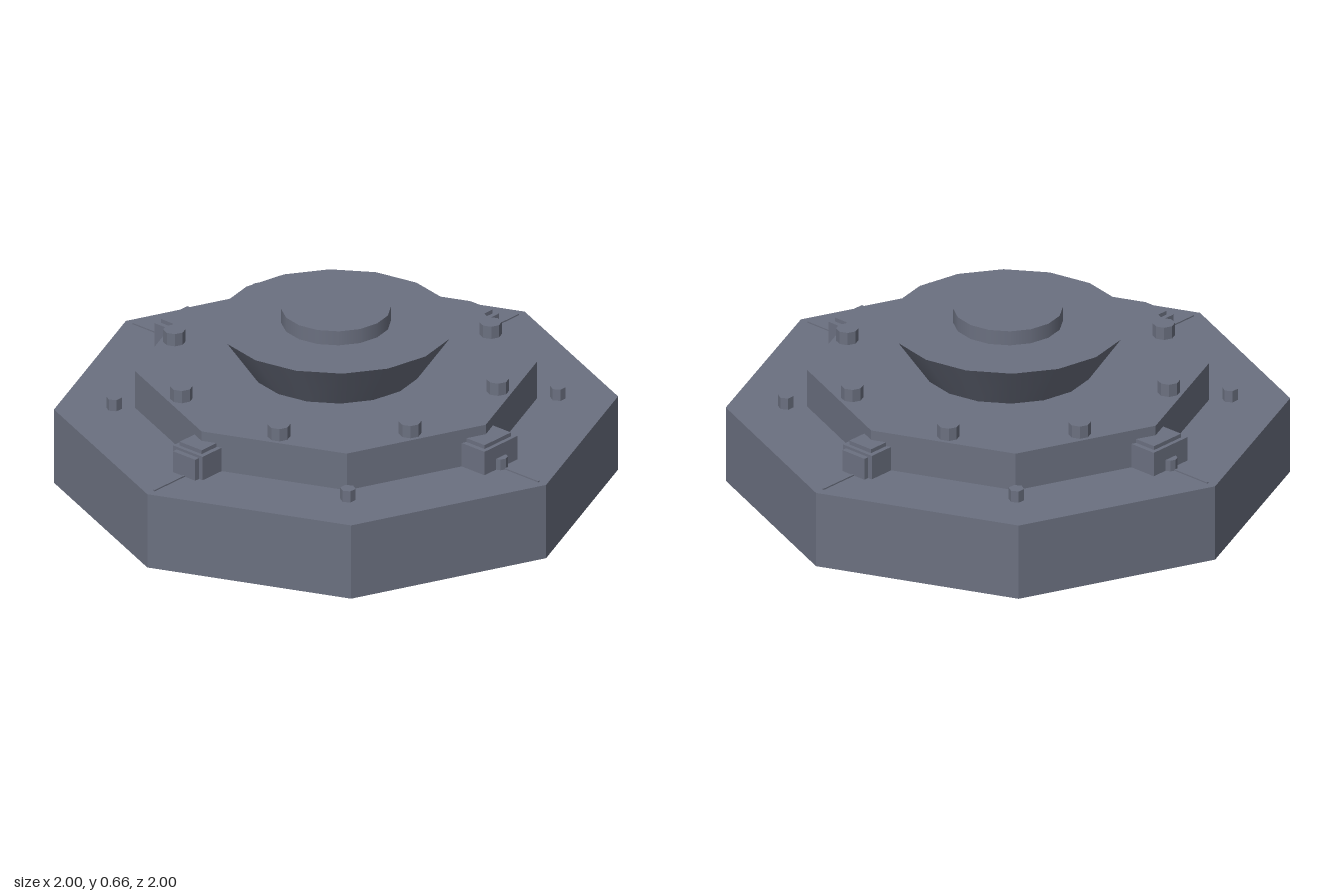
import * as THREE from 'three';

const flat = new THREE.MeshStandardMaterial({ color: 0x6b7080, flatShading: true });
const smooth = new THREE.MeshStandardMaterial({ color: 0x6b7080 });

// Upright prism or cone from y0 to y1
function drum(name, rTop, rBottom, y0, y1, sides, material = flat) {
  const mesh = new THREE.Mesh(new THREE.CylinderGeometry(rTop, rBottom, y1 - y0, sides), material);
  mesh.position.y = (y0 + y1) / 2;
  mesh.name = name;
  return mesh;
}

// Box given by width, a y range and a z range
function block(name, width, y0, y1, z0, z1) {
  const mesh = new THREE.Mesh(new THREE.BoxGeometry(width, y1 - y0, z1 - z0), flat);
  mesh.position.set(0, (y0 + y1) / 2, (z0 + z1) / 2);
  mesh.name = name;
  return mesh;
}

// Clamp on the rim of the upper tier, facing +z before it is turned
function createClamp(width, onSide) {
  const clamp = new THREE.Group();
  clamp.name = 'clamp';
  clamp.add(block('clampBody', width, 0.28, 0.38, 0.62, 0.785));
  clamp.add(block('clampCap', width - 0.035, 0.37, 0.395, 0.68, 0.77));
  if (onSide) {
    const stud = drum('clampStud', 0.027, 0.027, 0.28, 0.33, 8);
    stud.position.z = 0.782;
    clamp.add(stud);
  } else {
    clamp.add(block('clampPlate', 0.106, 0.28, 0.37, 0.77, 0.805));
  }
  // Thin seam running out to the corner of the base
  clamp.add(block('seam', 0.008, 0.28, 0.293, 0.78, 0.965));
  return clamp;
}

export function createModel() {
  const model = new THREE.Group();
  model.name = 'pedestal';

  // Stacked tiers
  model.add(drum('base', 1, 1, 0, 0.288, 8));
  model.add(drum('upperTier', 0.713, 0.713, 0.288, 0.432, 8));
  model.add(drum('flaredCollar', 0.426, 0.305, 0.432, 0.608, 16, smooth));
  model.add(drum('topCap', 0.195, 0.195, 0.608, 0.663, 16, smooth));

  // Ring of bolts on the upper tier
  for (let i = 0; i < 8; i++) {
    const a = (i + 0.5) * Math.PI / 4;
    const bolt = drum('tierBolt', 0.04, 0.04, 0.425, 0.48, 8);
    bolt.position.x = Math.sin(a) * 0.607;
    bolt.position.z = Math.cos(a) * 0.607;
    model.add(bolt);
  }

  for (let i = 0; i < 4; i++) {
    // Small bolts on the base
    const a = (i + 0.5) * Math.PI / 2;
    const bolt = drum('baseBolt', 0.028, 0.028, 0.28, 0.332, 6);
    bolt.position.x = Math.sin(a) * 0.787;
    bolt.position.z = Math.cos(a) * 0.787;
    model.add(bolt);

    // Clamps, wider at the left and right
    const onSide = i % 2 === 1;
    const clamp = createClamp(onSide ? 0.175 : 0.14, onSide);
    clamp.rotation.y = i * Math.PI / 2;
    model.add(clamp);
  }
  return model;
}
